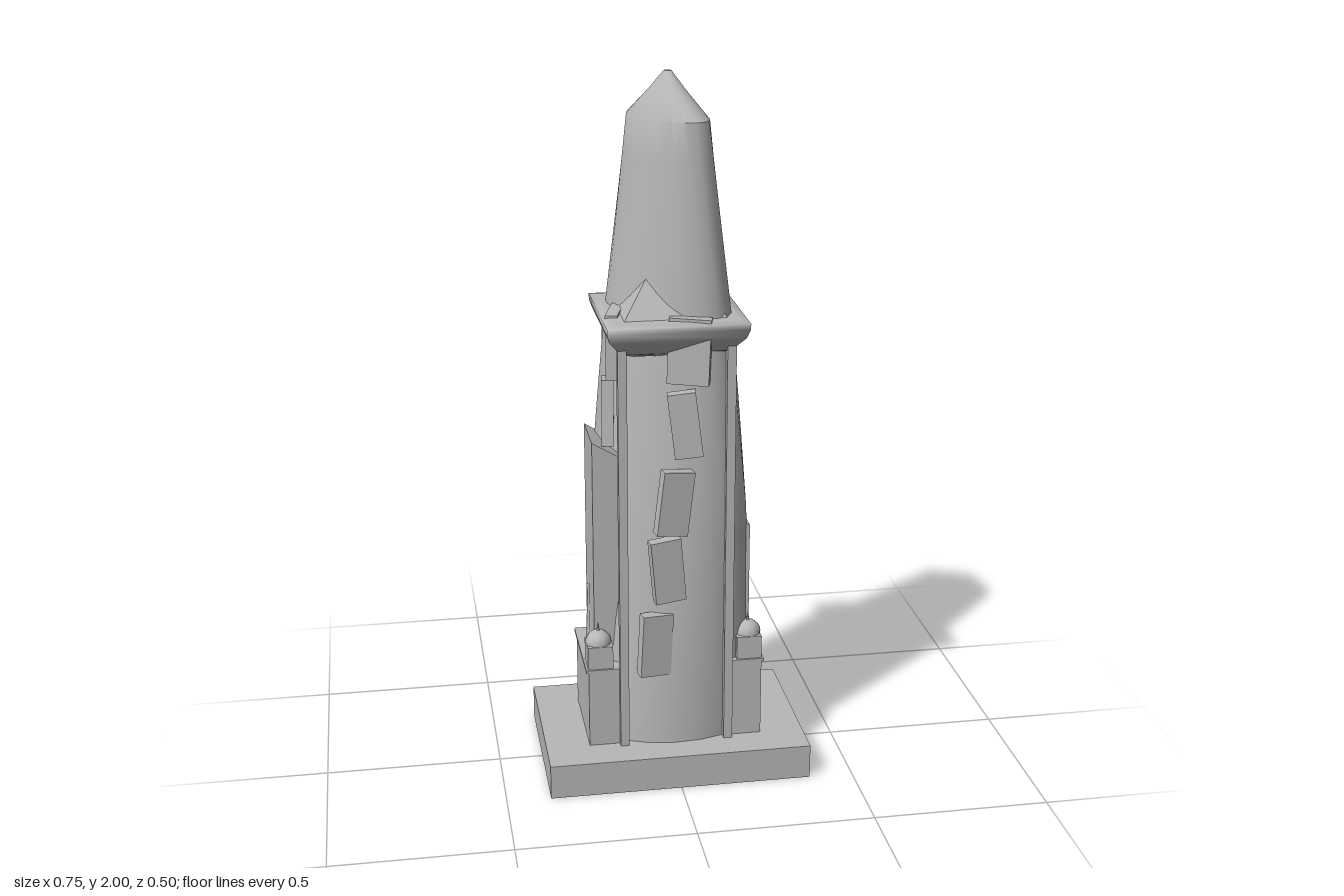
import * as THREE from 'three';
import { toCreasedNormals } from 'three/addons/utils/BufferGeometryUtils.js';

const stone = new THREE.MeshStandardMaterial({ color: 0xb8b8b8 });
stone.name = 'stone grey';

function add(parent, name, geometry, x = 0, y = 0, z = 0) {
  const mesh = new THREE.Mesh(geometry, stone);
  mesh.name = name;
  mesh.position.set(x, y, z);
  parent.add(mesh);
  return mesh;
}

// Box given by its lower and upper limits
function block(parent, name, x0, x1, y0, y1, z0, z1) {
  return add(parent, name, new THREE.BoxGeometry(x1 - x0, y1 - y0, z1 - z0),
    (x0 + x1) / 2, (y0 + y1) / 2, (z0 + z1) / 2);
}

// Tapering elliptical shaft that twists as it rises
function shaftGeometry() {
  const sections = [ // height, long radius, short radius
    [0.01, 0.25, 0.168], [0.4, 0.237, 0.155], [0.8, 0.228, 0.138],
    [1.35, 0.193, 0.107], [1.88, 0.142, 0.077], [1.95, 0.064, 0.037],
    [1.99, 0.022, 0.015], [2, 0.012, 0.009],
  ];
  const sides = 20, steps = 5, rings = [];
  for (let s = 0; s < sections.length - 1; s++) {
    const n = s < 4 ? steps : 1;
    for (let k = 0; k < n; k++) {
      rings.push(sections[s].map((v, i) => THREE.MathUtils.lerp(v, sections[s + 1][i], k / n)));
    }
  }
  rings.push(sections[sections.length - 1]);
  const positions = [], index = [];
  rings.forEach(([y, a, b]) => {
    const turn = THREE.MathUtils.degToRad(30 * y);
    for (let j = 0; j < sides; j++) {
      const t = (j / sides) * Math.PI * 2;
      const u = a * Math.cos(t), v = b * Math.sin(t);
      positions.push(u * Math.cos(turn) - v * Math.sin(turn), y, u * Math.sin(turn) + v * Math.cos(turn));
    }
  });
  for (let i = 0; i < rings.length - 1; i++) {
    for (let j = 0; j < sides; j++) {
      const k = (j + 1) % sides;
      const a = i * sides + j, b = i * sides + k, c = a + sides, d = b + sides;
      index.push(a, c, b, b, c, d);
    }
  }
  // Close the tip
  const top = (rings.length - 1) * sides;
  for (let j = 1; j < sides - 1; j++) index.push(top, top + j + 1, top + j);
  const geometry = new THREE.BufferGeometry();
  geometry.setAttribute('position', new THREE.Float32BufferAttribute(positions, 3));
  geometry.setIndex(index);
  return toCreasedNormals(geometry, 0.6);
}

// Square turned form from [half width, height] points
function squareLathe(points) {
  const profile = points.map(([r, y]) => new THREE.Vector2(r * Math.SQRT2, y));
  return new THREE.LatheGeometry(profile, 4, Math.PI / 4);
}

// Upright slab with a sloping top, drawn in the xy plane
function slab(parent, name, xOuter, xInner, yOuter, yInner) {
  const shape = new THREE.Shape();
  shape.moveTo(xOuter, 0.33);
  shape.lineTo(xInner, 0.33);
  shape.lineTo(xInner, yInner);
  shape.lineTo(xOuter, yOuter);
  const geometry = new THREE.ExtrudeGeometry(shape, { depth: 0.174, bevelEnabled: false });
  add(parent, name, geometry, 0, 0, -0.088);
}

export function createModel() {
  const model = new THREE.Group();
  model.name = 'twistedTower';

  block(model, 'basePlinth', -0.375, 0.375, 0, 0.1, -0.25, 0.25);
  add(model, 'twistedShaft', shaftGeometry());

  // Cornice with a low pyramid roof around the shaft
  add(model, 'cornice', squareLathe([
    [0, 1.25], [0.11, 1.25], [0.15, 1.268], [0.185, 1.31], [0.194, 1.335],
    [0.194, 1.352], [0.17, 1.357], [0, 1.357],
  ]));
  const roof = new THREE.ConeGeometry(0.14 * Math.SQRT2, 0.2, 4, 1, true, Math.PI / 4);
  add(model, 'pyramidRoof', toCreasedNormals(roof, 0.3), 0, 1.457, 0);

  // Corner pilasters
  for (const x of [-0.15, 0.15]) {
    for (const z of [-0.15, 0.15]) {
      block(model, 'cornerPilaster', x - 0.0125, x + 0.0125, 0.1, 1.3, z - 0.0125, z + 0.0125);
    }
  }

  // Leaning panels, stacked on each of the four faces
  const panels = [ // x, y, z, yaw, lean, width
    [-0.06, 0.41, 0.15, 12, -3, 0.09],
    [-0.03, 0.645, 0.172, 8, 5, 0.088],
    [-0.01, 0.845, 0.175, 10, -7, 0.09],
    [0.02, 1.07, 0.172, -8, 7, 0.078],
    [0.035, 1.272, 0.152, -17, -2, 0.115],
  ];
  for (let face = 0; face < 4; face++) {
    const stack = new THREE.Group();
    stack.name = 'panelStack';
    stack.rotation.y = face * Math.PI / 2;
    for (const [x, y, z, yaw, lean, width] of panels) {
      const panel = add(stack, 'leaningPanel', new THREE.BoxGeometry(width, 0.185, 0.034), x, y, z);
      panel.rotation.set(0, THREE.MathUtils.degToRad(yaw), THREE.MathUtils.degToRad(lean));
    }
    model.add(stack);
  }

  // Side podiums with a cap, and a domed post at the front corner
  for (const side of [-1, 1]) {
    const cx = side * 0.2;
    block(model, 'sidePodium', cx - 0.05, cx + 0.05, 0.1, 0.33, -0.15, 0.143);
    block(model, 'podiumCap', cx - 0.057, cx + 0.057, 0.328, 0.337, -0.148, 0.144);
    const px = side * 0.215;
    block(model, 'cornerPost', px - 0.036, px + 0.036, 0.335, 0.405, 0.062, 0.138);
    const dome = new THREE.SphereGeometry(0.038, 10, 6, 0, Math.PI * 2, 0, Math.PI / 2);
    add(model, 'postDome', dome, side * 0.217, 0.405, 0.1);
    add(model, 'domeSpike', new THREE.ConeGeometry(0.005, 0.03, 6), side * 0.217, 0.455, 0.1);
  }

  // Tall side slabs of unequal height
  slab(model, 'rightSlab', -0.226, -0.15, 1.0, 0.955);
  const left = new THREE.Group();
  left.name = 'leftSlabGroup';
  left.rotation.y = Math.PI;
  slab(left, 'leftSlab', -0.222, -0.15, 0.73, 0.765);
  model.add(left);

  return model;
}
